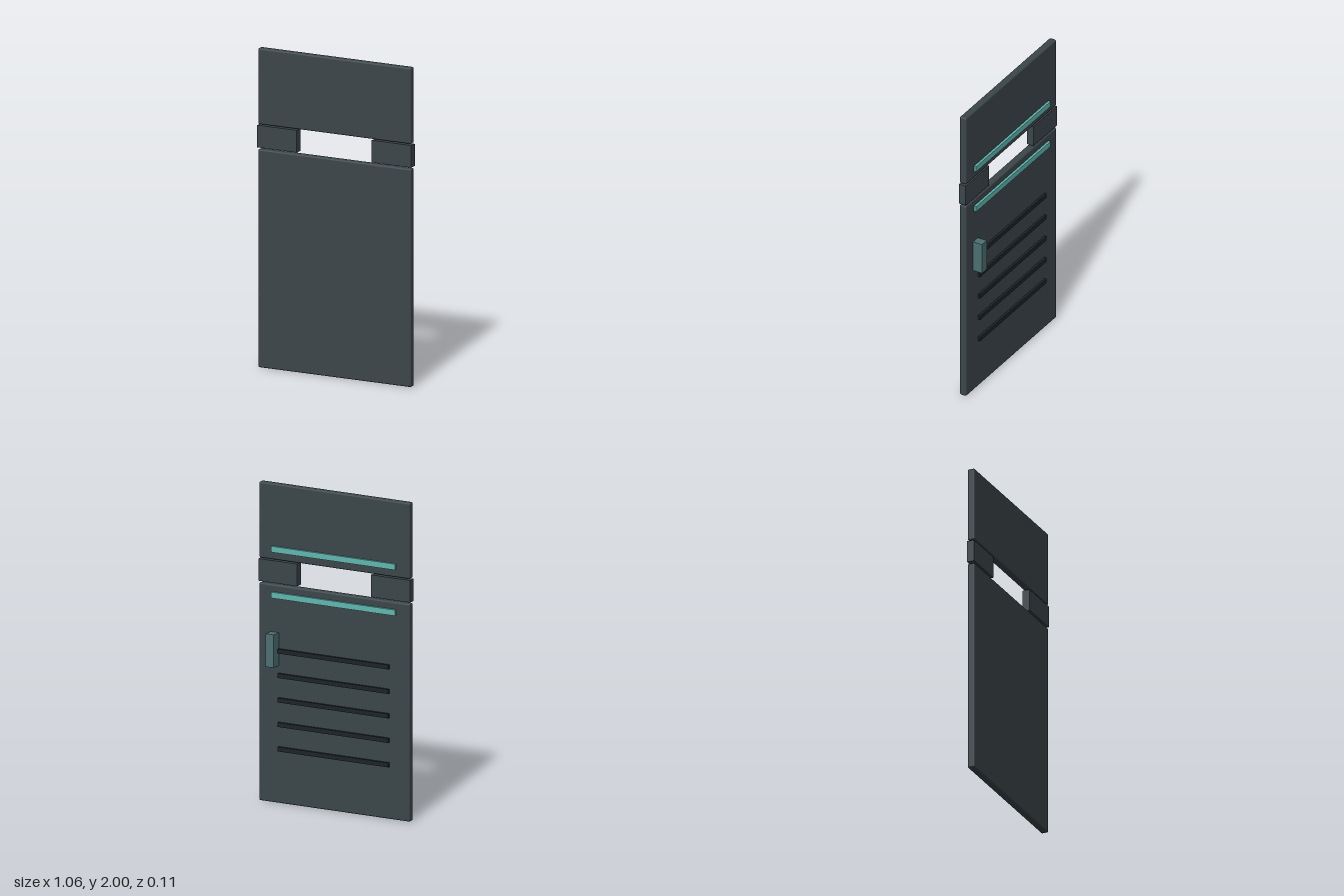
import * as THREE from 'three';
import { RoundedBoxGeometry } from 'three/addons/geometries/RoundedBoxGeometry.js';

const BACK = 0.008;   // rear face of the door slab
const FRONT = 0.0545; // front face of the door slab

export function createModel() {
  const group = new THREE.Group();
  group.name = 'door';

  const mat = (name, color) => {
    const m = new THREE.MeshStandardMaterial({ color });
    m.name = name;
    return m;
  };
  const slate = mat('slate', 0x3c464a);
  const teal = mat('teal', 0x62b8b0);
  const greyTeal = mat('greyTeal', 0x4e7072);
  const black = mat('nearBlack', 0x1c2427);

  // box given by its limits; a bevel gives softened edges
  const box = (name, material, [x0, x1], [y0, y1], [z0, z1], bevel = 0) => {
    const size = [x1 - x0, y1 - y0, z1 - z0];
    const geo = bevel
      ? new RoundedBoxGeometry(...size, 2, bevel)
      : new THREE.BoxGeometry(...size);
    const mesh = new THREE.Mesh(geo, material);
    mesh.name = name;
    mesh.position.set((x0 + x1) / 2, (y0 + y1) / 2, (z0 + z1) / 2);
    group.add(mesh);
  };

  // main panels above and below the window opening
  const slab = [BACK, FRONT];
  box('lowerPanel', slate, [-0.527, 0.527], [0, 1.367], slab, 0.01);
  box('upperPanel', slate, [-0.527, 0.527], [1.524, 2], slab, 0.01);

  // blocks at either side of the opening
  box('leftWindowBlock', slate, [0.258, 0.53], [1.378, 1.517], slab);
  box('rightWindowBlock', slate, [-0.53, -0.258], [1.378, 1.517], slab);

  // bright strips above and below the opening, on the back
  const raised = [-0.007, BACK + 0.002];
  box('upperStrip', teal, [-0.434, 0.434], [1.573, 1.61], raised);
  box('lowerStrip', teal, [-0.434, 0.434], [1.285, 1.322], raised);

  // handle
  box('handle', greyTeal, [0.387, 0.443], [0.863, 1.07], [-0.0545, BACK + 0.002]);

  // ribs on the lower panel
  for (let i = 0; i < 5; i++) {
    const y = 0.342 + i * 0.1537;
    box('rib' + (i + 1), black, [-0.387, 0.387], [y - 0.014, y + 0.014], raised);
  }

  return group;
}
